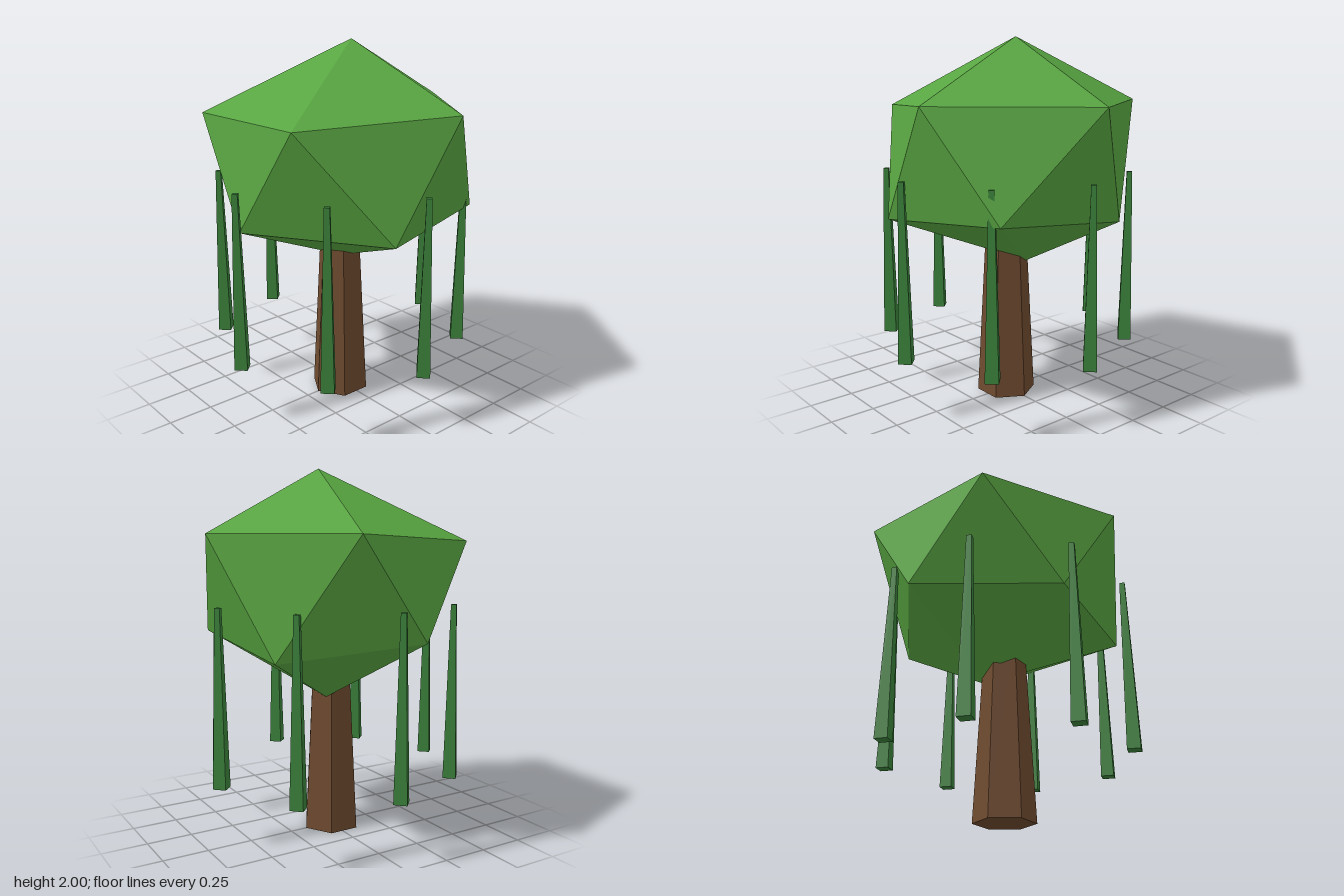
import * as THREE from 'three';

const flat = (name, color) => {
  const m = new THREE.MeshStandardMaterial({ color });
  m.name = name;
  return m;
};

// Faceted ball: top point, two staggered rings of five, bottom point
function crownGeometry(top, upper, lower, bottom) {
  const pos = [];
  const tri = (a, b, c) => pos.push(...a, ...b, ...c);
  const n = upper.length;
  for (let i = 0; i < n; i++) {
    const j = (i + 1) % n;
    tri(top, upper[i], upper[j]);
    tri(upper[i], lower[i], upper[j]);
    tri(lower[i], lower[j], upper[j]);
    tri(bottom, lower[j], lower[i]);
  }
  const g = new THREE.BufferGeometry();
  g.setAttribute('position', new THREE.Float32BufferAttribute(pos, 3));
  g.computeVertexNormals();
  return g;
}

// Tapered prism with flat sides, standing on y0
function taper(rTop, rBottom, y0, y1, sides) {
  const g = new THREE.CylinderGeometry(rTop, rBottom, y1 - y0, sides).toNonIndexed();
  g.translate(0, (y0 + y1) / 2, 0);
  g.computeVertexNormals();
  return g;
}

export function createModel() {
  const model = new THREE.Group();
  model.name = 'willowTree';
  const bark = flat('bark brown', 0x6e4a2f);
  const leaf = flat('leaf green', 0x58a541);
  const frond = flat('dark frond green', 0x3a803a);
  const cx = -0.01;

  const add = (name, geometry, material, x = 0, z = 0) => {
    const mesh = new THREE.Mesh(geometry, material);
    mesh.name = name;
    mesh.position.set(x, 0, z);
    model.add(mesh);
    return mesh;
  };

  // Six-sided trunk with corners on the x axis
  add('trunk', taper(0.112, 0.165, 0, 1.0, 6), bark, cx).rotation.y = Math.PI / 2;

  // Irregular crown; rings run counter-clockwise seen from above
  add('crown', crownGeometry(
    [0.07, 2.0, 0],
    [[0.73, 1.66, -0.02], [0.26, 1.66, -0.72], [-0.58, 1.62, -0.46],
      [-0.6, 1.63, 0.36], [0.19, 1.665, 0.69]],
    [[0.52, 1.03, -0.35], [-0.17, 1.12, -0.66], [-0.65, 1.065, -0.03],
      [-0.2, 1.06, 0.645], [0.53, 1.11, 0.475]],
    [0.07, 0.77, -0.08]
  ), leaf);

  // Eight hanging fronds around the crown
  const frondGeometry = taper(0.02, 0.05, 0.33, 1.285, 4);
  for (let i = 0; i < 8; i++) {
    const a = (i * Math.PI) / 4;
    add('frond' + (i + 1), frondGeometry, frond, cx + 0.675 * Math.cos(a), 0.675 * Math.sin(a));
  }
  return model;
}
